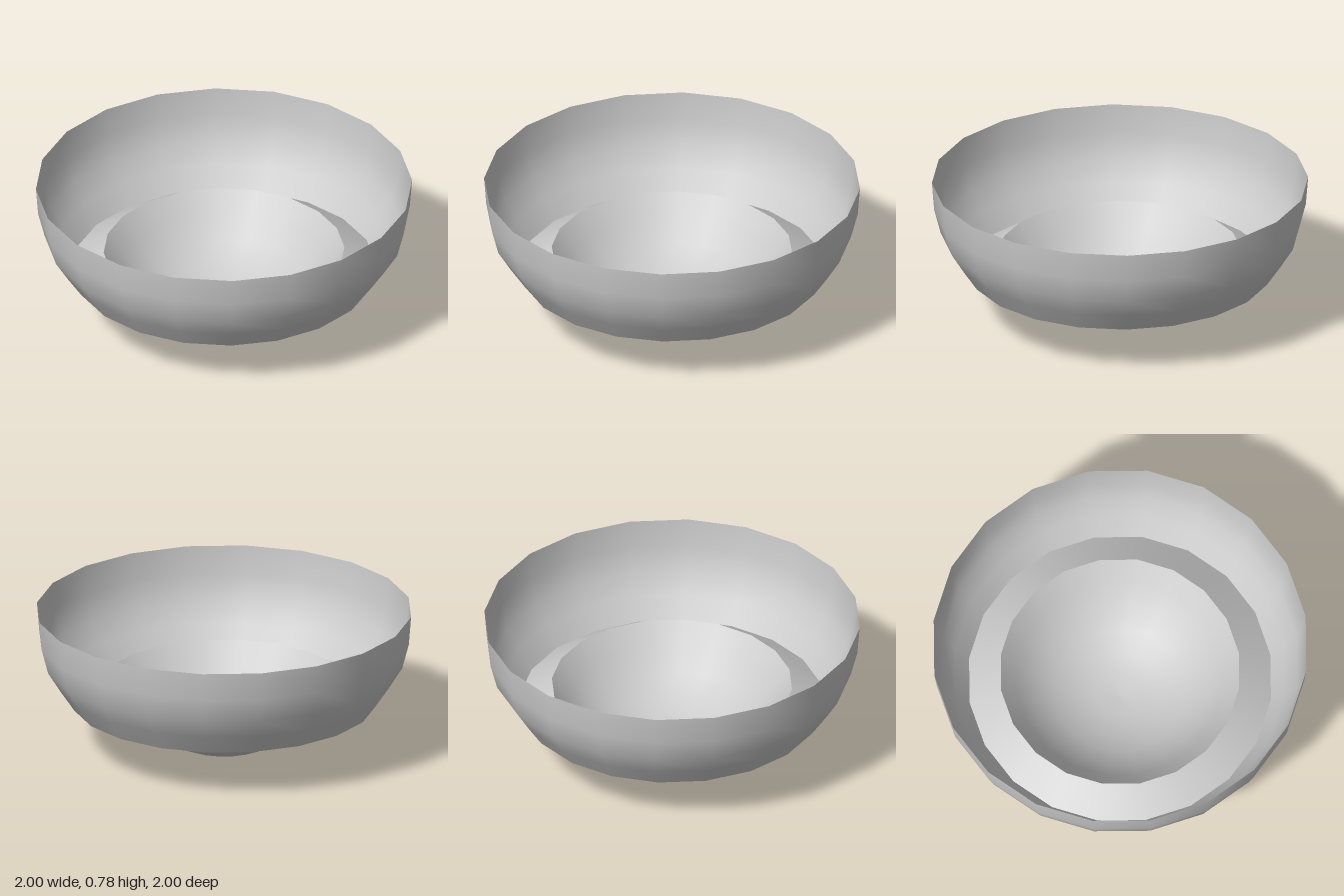
import * as THREE from 'three';

// Revolves a profile of [radius, height] points into a thin 20-sided shell
function shell(name, profile, material) {
  const points = profile.map(([r, y]) => new THREE.Vector2(r, y));
  const mesh = new THREE.Mesh(new THREE.LatheGeometry(points, 20), material);
  mesh.name = name;
  return mesh;
}

export function createModel() {
  const group = new THREE.Group();
  group.name = 'bowl';
  const material = new THREE.MeshStandardMaterial({ color: 0xcccccc, side: THREE.DoubleSide });

  // Rounded basin at the bottom
  group.add(shell('basin', [
    [0, 0], [0.12, 0.007], [0.235, 0.036], [0.35, 0.088], [0.46, 0.165], [0.552, 0.268], [0.64, 0.378],
  ], material));

  // Sloping ledge that joins the basin's rim to the foot of the wall
  group.add(shell('ledge', [[0.81, 0.268], [0.64, 0.378]], material));

  // Curved outer wall, open at the top
  group.add(shell('wall', [
    [0.81, 0.268], [0.885, 0.38], [0.953, 0.49], [0.988, 0.625], [1, 0.78],
  ], material));

  return group;
}
